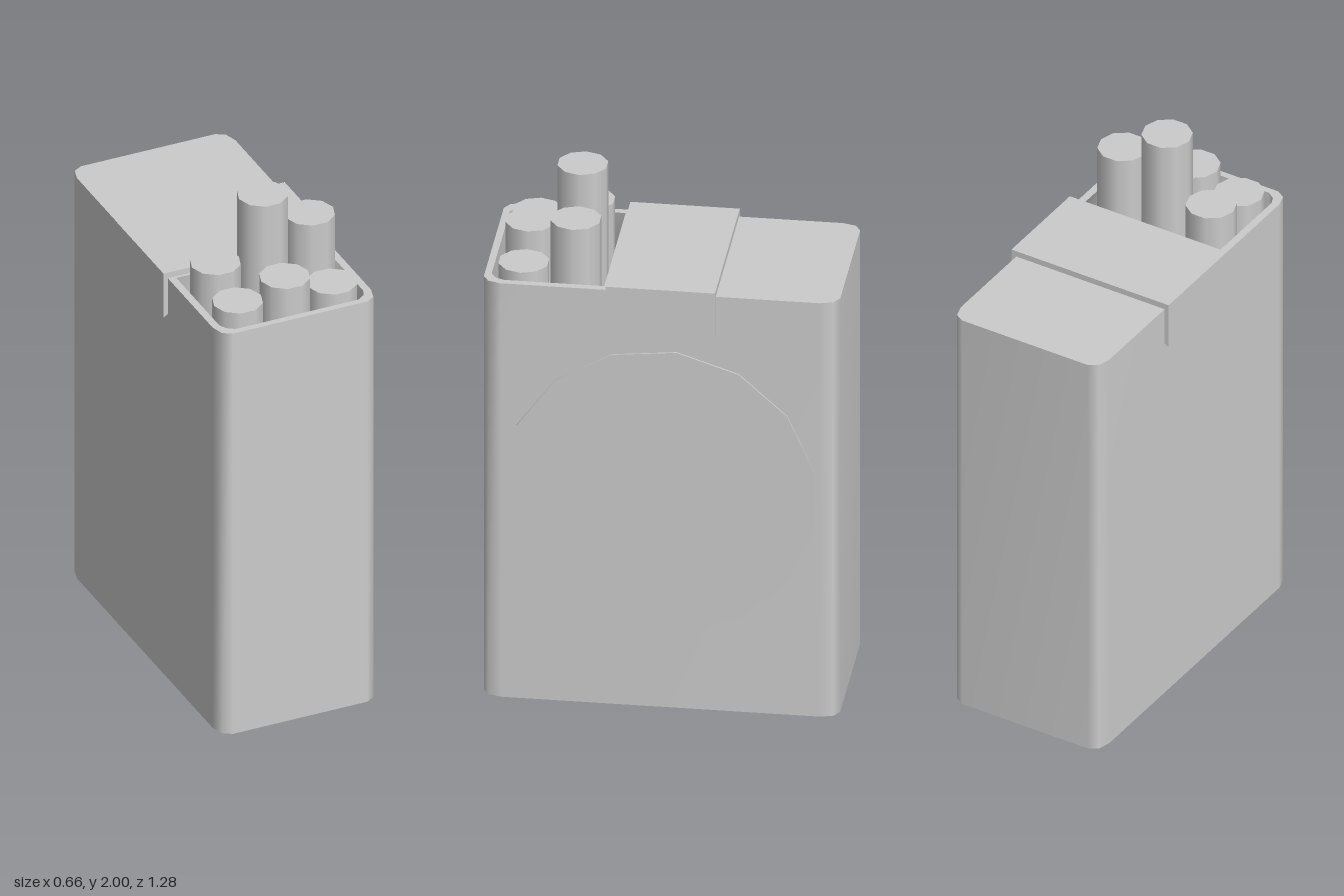
import * as THREE from 'three';

const material = new THREE.MeshStandardMaterial({ color: 0xcccccc });

function addMesh(parent, name, geometry) {
  const mesh = new THREE.Mesh(geometry, material);
  mesh.name = name;
  parent.add(mesh);
  return mesh;
}

// Outlines are drawn on a plan where the second coordinate is -z, counter-clockwise.
function bodyOutline(x0, x1, hz) {
  const cx = 0.047, cz = 0.068; // size of the rounded corners
  const pts = [];
  const corners = [[x1, hz, 1, 1], [x0, hz, -1, 1], [x0, -hz, -1, -1], [x1, -hz, 1, -1]];
  corners.forEach(([x, y, sx, sy], c) => {
    const arc = [0, 1, 2].map((i) => {
      const a = (i * Math.PI) / 4;
      return new THREE.Vector2(x - sx * cx * (1 - Math.cos(a)), y - sy * cz * (1 - Math.sin(a)));
    });
    pts.push(...(c % 2 ? arc.reverse() : arc));
  });
  return pts;
}

// Smooth upright wall along a closed outline, facing its right-hand side
function wall(pts, y0, y1) {
  const pos = [], index = [];
  pts.forEach((p, i) => {
    const a = 2 * i, b = 2 * ((i + 1) % pts.length);
    pos.push(p.x, y0, -p.y, p.x, y1, -p.y);
    index.push(a, b, b + 1, a, b + 1, a + 1);
  });
  const g = new THREE.BufferGeometry();
  g.setAttribute('position', new THREE.Float32BufferAttribute(pos, 3));
  g.setIndex(index);
  g.computeVertexNormals();
  return g;
}

// Flat horizontal face at height y, facing up
function plate(pts, y, hole) {
  const shape = new THREE.Shape(pts);
  if (hole) shape.holes.push(new THREE.Path(hole));
  return new THREE.ShapeGeometry(shape).rotateX(-Math.PI / 2).translate(0, y, 0);
}

export function createModel() {
  const model = new THREE.Group();
  model.name = 'pack';
  const top = 1.66, floor = 1.48;

  // Box with an open compartment at the front of its top
  const body = new THREE.Group();
  body.name = 'body';
  model.add(body);
  const outline = bodyOutline(-0.313, 0.309, 0.64);
  const opening = [
    [0.281, -0.205], [-0.285, -0.205], [-0.285, -0.565], [-0.273, -0.594], [-0.243, -0.615],
    [0.239, -0.615], [0.269, -0.594], [0.281, -0.565],
  ].map(([x, y]) => new THREE.Vector2(x, y));
  addMesh(body, 'outerWall', wall(outline, 0, top));
  addMesh(body, 'topRim', plate(outline, top, opening));
  addMesh(body, 'base', plate(outline, 0).rotateX(Math.PI));
  addMesh(body, 'compartmentWall', wall([...opening].reverse(), floor, top));
  addMesh(body, 'compartmentFloor', plate(opening, floor));

  // Strip folded over the top and down both sides
  const strip = new THREE.Shape();
  [[-0.33, 1.5], [-0.307, 1.515], [-0.307, 1.652], [0.303, 1.652], [0.303, 1.515], [0.329, 1.5],
    [0.329, 1.683], [-0.33, 1.683]].forEach(([x, y], i) => (i ? strip.lineTo(x, y) : strip.moveTo(x, y)));
  addMesh(model, 'sealStrip',
    new THREE.ExtrudeGeometry(strip, { depth: 0.393, bevelEnabled: false }).translate(0, 0, -0.199));

  // Thin round label on the left side
  const label = new THREE.CylinderGeometry(0.565, 0.565, 0.014, 15);
  label.rotateZ(-Math.PI / 2); // one corner points straight down
  addMesh(model, 'roundLabel', label).position.set(0.308, 0.866, 0);

  // Sticks in two rows, from right to left
  const rows = [
    { z: 0.32, heights: [1.763, 2.0, 1.875] },
    { z: 0.507, heights: [1.705, 1.76, 1.69] },
  ];
  for (const { z, heights } of rows) {
    heights.forEach((h, i) => {
      const length = h - floor;
      const stick = new THREE.CylinderGeometry(0.092, 0.092, length, 10, 1, false, Math.PI / 2);
      addMesh(model, 'stick', stick).position.set((i - 1) * 0.185, floor + length / 2, z);
    });
  }
  return model;
}
